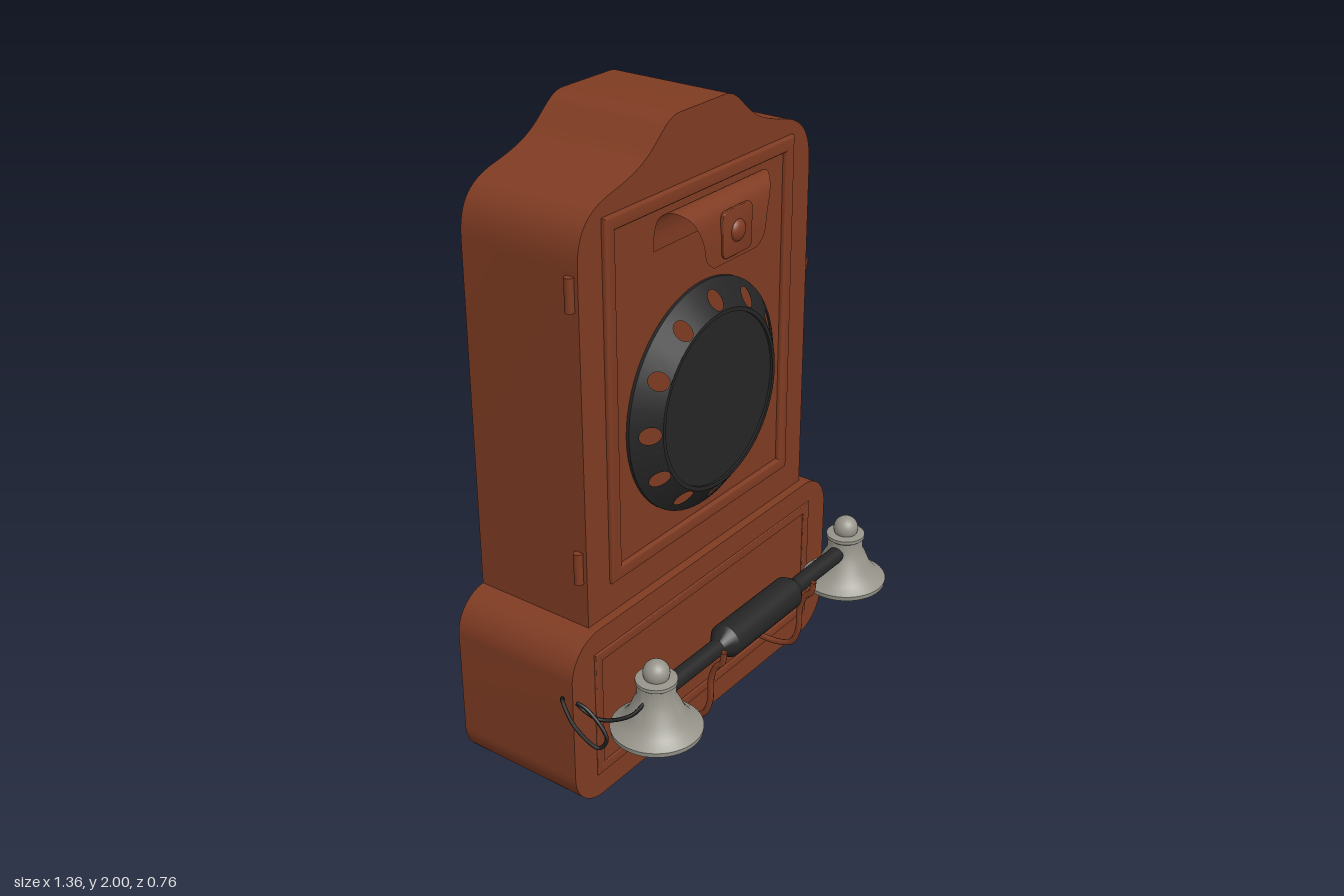
import * as THREE from 'three';
import { toCreasedNormals } from 'three/addons/utils/BufferGeometryUtils.js';

const material = (name, color) =>
  Object.assign(new THREE.MeshStandardMaterial({ color, side: THREE.DoubleSide }), { name });
const V = (x, y, z) => new THREE.Vector3(x, y, z);
const crease = (g) => toCreasedNormals(g, 0.55);

export function createModel() {
  const wood = material('reddish brown wood', 0x7f3b22);
  const dark = material('dark grey', 0x252525);
  const cordBlack = material('cord black', 0x161616);
  const metal = material('warm grey metal', 0x96948a);

  const model = new THREE.Group();
  model.name = 'wallTelephone';
  const body = new THREE.Group();
  body.name = 'body';
  body.position.x = 0.0125;
  model.add(body);

  const add = (name, geometry, mat, x = 0, y = 0, z = 0) => {
    const mesh = new THREE.Mesh(geometry, mat);
    mesh.name = name;
    mesh.position.set(x, y, z);
    body.add(mesh);
    return mesh;
  };
  const extrude = (shape, depth, bevel = 0) => crease(new THREE.ExtrudeGeometry(shape, {
    depth, curveSegments: 16, bevelEnabled: bevel > 0, bevelSize: bevel,
    bevelThickness: bevel, bevelOffset: -bevel, bevelSegments: 3,
  }));
  const lathe = (points, segments = 48) => crease(new THREE.LatheGeometry(
    points.map(([r, y]) => new THREE.Vector2(r, y)), segments));
  const tube = (points, radius, segments = 40) => new THREE.TubeGeometry(
    new THREE.CatmullRomCurve3(points.map((p) => V(...p))), segments, radius, 8);
  const rounded = (w, y0, y1, r) => {
    const s = new THREE.Shape();
    s.absarc(w - r, y0 + r, r, -Math.PI / 2, 0);
    s.absarc(w - r, y1 - r, r, 0, Math.PI / 2);
    s.absarc(-w + r, y1 - r, r, Math.PI / 2, Math.PI);
    s.absarc(-w + r, y0 + r, r, Math.PI, Math.PI * 1.5);
    return s;
  };
  const rectangle = (PathType, w, y0, y1) => new PathType(
    [[-w, y0], [w, y0], [w, y1], [-w, y1]].map((p) => new THREE.Vector2(...p)));

  // Lower box and upper case with its shaped crest
  add('lowerBox', extrude(rounded(0.6625, 0, 0.585, 0.125), 0.44), wood, 0, 0, -0.38);
  const crest = new THREE.Shape();
  crest.moveTo(-0.5475, 0.3);
  crest.lineTo(0.5475, 0.3);
  crest.lineTo(0.5475, 1.68);
  crest.bezierCurveTo(0.5475, 1.79, 0.5, 1.835, 0.4, 1.857);
  crest.bezierCurveTo(0.29, 1.882, 0.25, 1.905, 0.2, 1.95);
  crest.bezierCurveTo(0.16, 1.985, 0.14, 2, 0.1, 2);
  crest.lineTo(-0.1, 2);
  crest.bezierCurveTo(-0.14, 2, -0.16, 1.985, -0.2, 1.95);
  crest.bezierCurveTo(-0.25, 1.905, -0.29, 1.882, -0.4, 1.857);
  crest.bezierCurveTo(-0.5, 1.835, -0.5475, 1.79, -0.5475, 1.68);
  add('upperCase', extrude(crest, 0.41), wood, 0, 0, -0.38);

  // Rectangular mouldings on both fronts
  const moulding = (name, w, y0, y1, width, z, depth, bevel) => {
    const s = rectangle(THREE.Shape, w, y0, y1);
    s.holes.push(rectangle(THREE.Path, w - width, y0 + width, y1 - width));
    add(name, extrude(s, depth, bevel), wood, 0, 0, z);
  };
  moulding('doorMoulding', 0.4475, 0.685, 1.8, 0.045, 0.03, 0.004, 0.01);
  moulding('boxMoulding', 0.5625, 0.08, 0.51, 0.034, 0.058, 0.002, 0.005);

  // Dial: sloping ring of twelve pierced sectors round a flat disc
  const dial = V(0, 1.12, 0);
  for (let i = 0; i < 12; i++) {
    const a = (i * Math.PI) / 6, h = Math.PI / 12;
    const s = new THREE.Shape();
    s.absarc(0, 0, 0.36, a - h, a + h, false);
    s.absarc(0, 0, 0.28, a + h, a - h, true);
    const hole = new THREE.Path();
    hole.absarc(0.31 * Math.cos(a), 0.31 * Math.sin(a), 0.027, 0, Math.PI * 2, true);
    s.holes.push(hole);
    const g = new THREE.ShapeGeometry(s, 12);
    const p = g.attributes.position;
    for (let k = 0; k < p.count; k++) {
      const x = p.getX(k), y = p.getY(k), r = Math.hypot(x, y);
      p.setZ(k, 0.04 + (0.36 - r) * 0.75);
      const n = V((0.75 * x) / r, (0.75 * y) / r, 1).normalize();
      g.attributes.normal.setXYZ(k, n.x, n.y, n.z);
    }
    add('dialRingSector', g, dark, 0, dial.y);
  }
  const disc = lathe([[0.28, 0.1], [0.268, 0.1], [0.268, 0.092], [0, 0.092]], 64);
  add('dialDisc', disc.rotateX(Math.PI / 2), dark, 0, dial.y);
  const rim = lathe([[0.36, 0.028], [0.36, 0.04]], 64);
  add('dialRim', rim.rotateX(Math.PI / 2), dark, 0, dial.y);

  // Curled sheet bracket: cross-sections of half width, height and depth
  const curl = new THREE.CatmullRomCurve3([
    [0.235, 1.64, 0.036], [0.235, 1.7, 0.04], [0.235, 1.745, 0.058], [0.228, 1.762, 0.09],
    [0.19, 1.735, 0.13], [0.155, 1.67, 0.145], [0.138, 1.605, 0.147], [0.105, 1.577, 0.147],
  ].map((p) => V(...p)));
  const rows = 32;
  const sheet = new THREE.PlaneGeometry(1, 1, 1, rows);
  for (let i = 0; i <= rows; i++) {
    const p = curl.getPoint(i / rows);
    sheet.attributes.position.setXYZ(2 * i, -p.x, p.y, p.z);
    sheet.attributes.position.setXYZ(2 * i + 1, p.x, p.y, p.z);
  }
  sheet.computeVertexNormals();
  add('curledBracket', sheet, wood);
  add('bracketPlate', extrude(rounded(0.07, 1.59, 1.73, 0.02), 0.006, 0.003), wood, 0, 0, 0.144);
  add('bracketKnob', new THREE.SphereGeometry(0.033, 24, 16), wood, 0, 1.66, 0.15).scale.z = 0.55;

  // Handset: bar, thick grip and a bell at each end
  const barY = 0.42, barZ = 0.243;
  add('handsetBar', new THREE.CylinderGeometry(0.027, 0.027, 1, 24).rotateZ(Math.PI / 2),
    dark, 0, barY, barZ);
  const grip = lathe([[0.027, -0.21], [0.054, -0.168], [0.054, 0.168], [0.027, 0.21]], 24);
  add('handsetGrip', grip.rotateZ(Math.PI / 2), dark, 0, barY, barZ);
  const bell = lathe([
    [0, 0.42], [0.045, 0.42], [0.058, 0.385], [0.08, 0.345], [0.125, 0.302], [0.135, 0.3],
    [0.137, 0.315], [0.108, 0.335], [0.085, 0.365], [0.07, 0.4], [0.058, 0.425],
    [0.056, 0.462], [0.062, 0.467], [0.062, 0.478], [0.04, 0.482], [0, 0.482],
  ]);
  for (const side of [-1, 1]) {
    add('handsetBell', bell, metal, side * 0.507, 0, barZ);
    add('bellKnob', new THREE.SphereGeometry(0.04, 24, 16), metal, side * 0.507, 0.498, barZ);
    // Cradle prong, bent up in front of the bar
    add('cradleProng', tube([
      [0, 0.162, 0.05], [0, 0.164, 0.16], [0, 0.185, 0.215], [0, 0.24, 0.24],
      [0, 0.33, 0.245], [0, 0.375, 0.262], [0, 0.4, 0.285], [0, 0.44, 0.292],
    ], 0.01), wood, side * 0.2415);
  }

  // Looping cord from the box to the handset
  add('cord', tube([
    [-0.645, 0.38, 0.02], [-0.675, 0.41, 0.03], [-0.692, 0.35, 0.09], [-0.67, 0.292, 0.16],
    [-0.653, 0.32, 0.175], [-0.66, 0.4, 0.11], [-0.665, 0.41, 0.075], [-0.645, 0.37, 0.14],
    [-0.6, 0.39, 0.22], [-0.55, 0.425, 0.243], [-0.5, 0.43, 0.243],
  ], 0.006, 100), cordBlack);

  // Door hinges
  for (const y of [0.78, 1.615]) {
    add('hinge', new THREE.CylinderGeometry(0.014, 0.014, 0.1, 16), wood, -0.554, y, 0.005);
  }

  // Door latch: two eyelets joined by a bent hook
  for (const [y, z] of [[1.335, 0.012], [1.315, -0.05]]) {
    add('latchEyelet', new THREE.TorusGeometry(0.014, 0.005, 8, 16), wood, 0.56, y, z);
  }
  add('latchHook', tube([
    [0.57, 1.365, 0.02], [0.573, 1.335, 0.01], [0.575, 1.32, -0.015], [0.577, 1.305, -0.03],
    [0.577, 1.31, -0.05], [0.575, 1.325, -0.072],
  ], 0.005), wood);
  add('latchHandle', tube([[0.575, 1.33, 0.0], [0.58, 1.3, -0.012], [0.576, 1.28, -0.02]], 0.005, 12), wood);

  return model;
}
